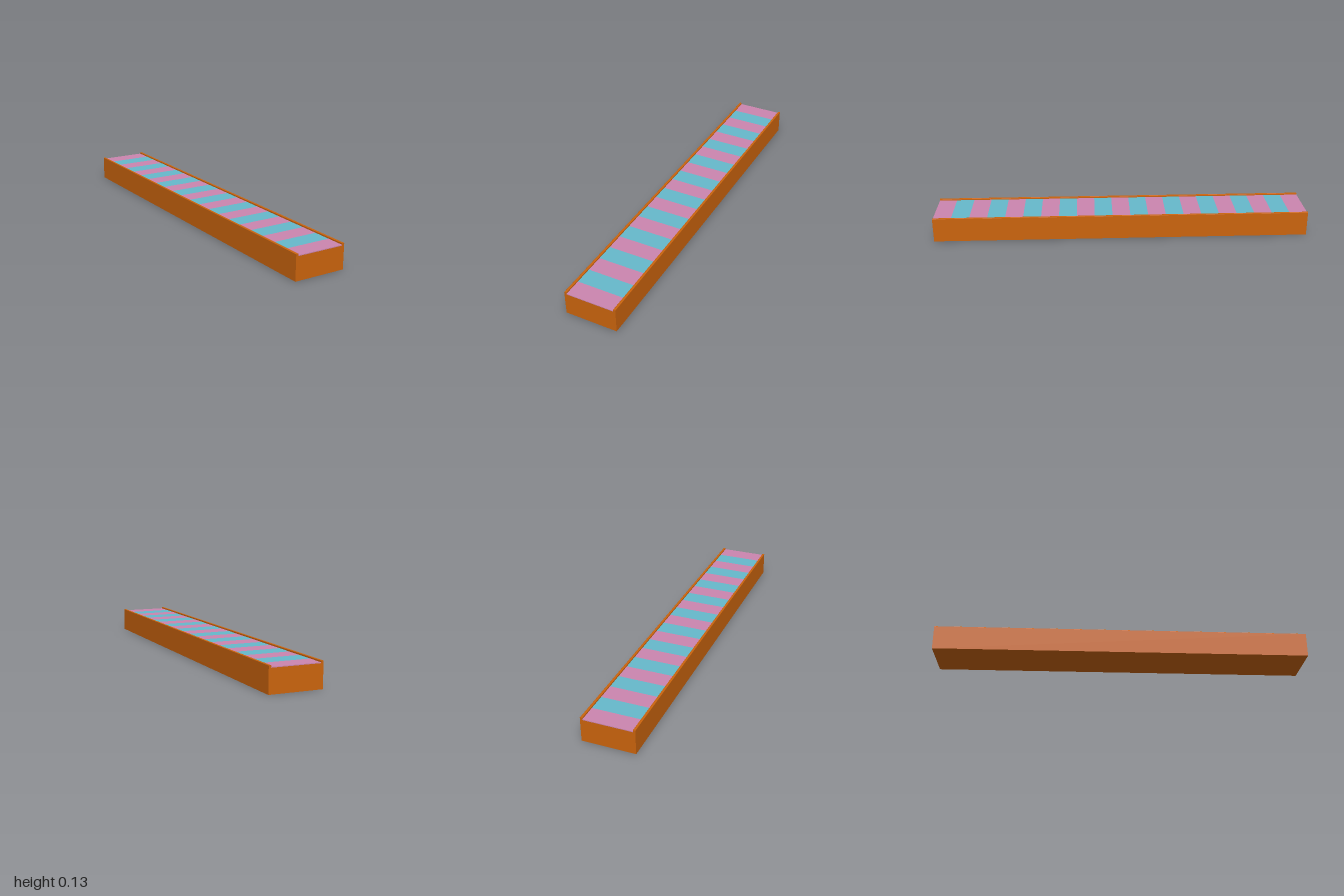
import * as THREE from 'three';

const LENGTH = 2, HALF_WIDTH = 0.137, INNER = 0.125;
const BED_TOP = 0.119, SURFACE_TOP = 0.123, LIP_TOP = 0.131, ROUND = 0.004;
const STRIPES = 21;

export function createModel() {
  const group = new THREE.Group();
  const orange = new THREE.MeshStandardMaterial({ color: 0xcb640d });
  const pink = new THREE.MeshStandardMaterial({ color: 0xcb86b0 });
  const blue = new THREE.MeshStandardMaterial({ color: 0x66b9cb });
  orange.name = 'orange';
  pink.name = 'pink';
  blue.name = 'light blue';

  // Solid beam with a raised, softly rounded lip along each long edge
  const profile = new THREE.Shape();
  profile.moveTo(-HALF_WIDTH, 0);
  profile.lineTo(HALF_WIDTH, 0);
  profile.lineTo(HALF_WIDTH, LIP_TOP - ROUND / 2);
  profile.quadraticCurveTo(HALF_WIDTH, LIP_TOP, HALF_WIDTH - ROUND, LIP_TOP);
  profile.lineTo(INNER + ROUND, LIP_TOP);
  profile.quadraticCurveTo(INNER, LIP_TOP, INNER, LIP_TOP - ROUND / 2);
  profile.lineTo(INNER, BED_TOP);
  profile.lineTo(-INNER, BED_TOP);
  profile.lineTo(-INNER, LIP_TOP - ROUND / 2);
  profile.quadraticCurveTo(-INNER, LIP_TOP, -INNER - ROUND, LIP_TOP);
  profile.lineTo(-HALF_WIDTH + ROUND, LIP_TOP);
  profile.quadraticCurveTo(-HALF_WIDTH, LIP_TOP, -HALF_WIDTH, LIP_TOP - ROUND / 2);
  profile.closePath();
  const beamGeometry = new THREE.ExtrudeGeometry(profile, {
    depth: LENGTH, bevelEnabled: false, curveSegments: 4,
  });
  beamGeometry.translate(0, 0, -LENGTH / 2);
  const beam = new THREE.Mesh(beamGeometry, orange);
  beam.name = 'beam';
  group.add(beam);

  // Alternating stripes set between the lips
  const step = LENGTH / STRIPES;
  const thickness = SURFACE_TOP - BED_TOP;
  const stripeGeometry = new THREE.BoxGeometry(INNER * 2, thickness, step);
  for (let i = 0; i < STRIPES; i++) {
    const stripe = new THREE.Mesh(stripeGeometry, i % 2 ? blue : pink);
    stripe.name = `stripe${i + 1}`;
    stripe.position.set(0, BED_TOP + thickness / 2, -LENGTH / 2 + (i + 0.5) * step);
    group.add(stripe);
  }
  return group;
}
